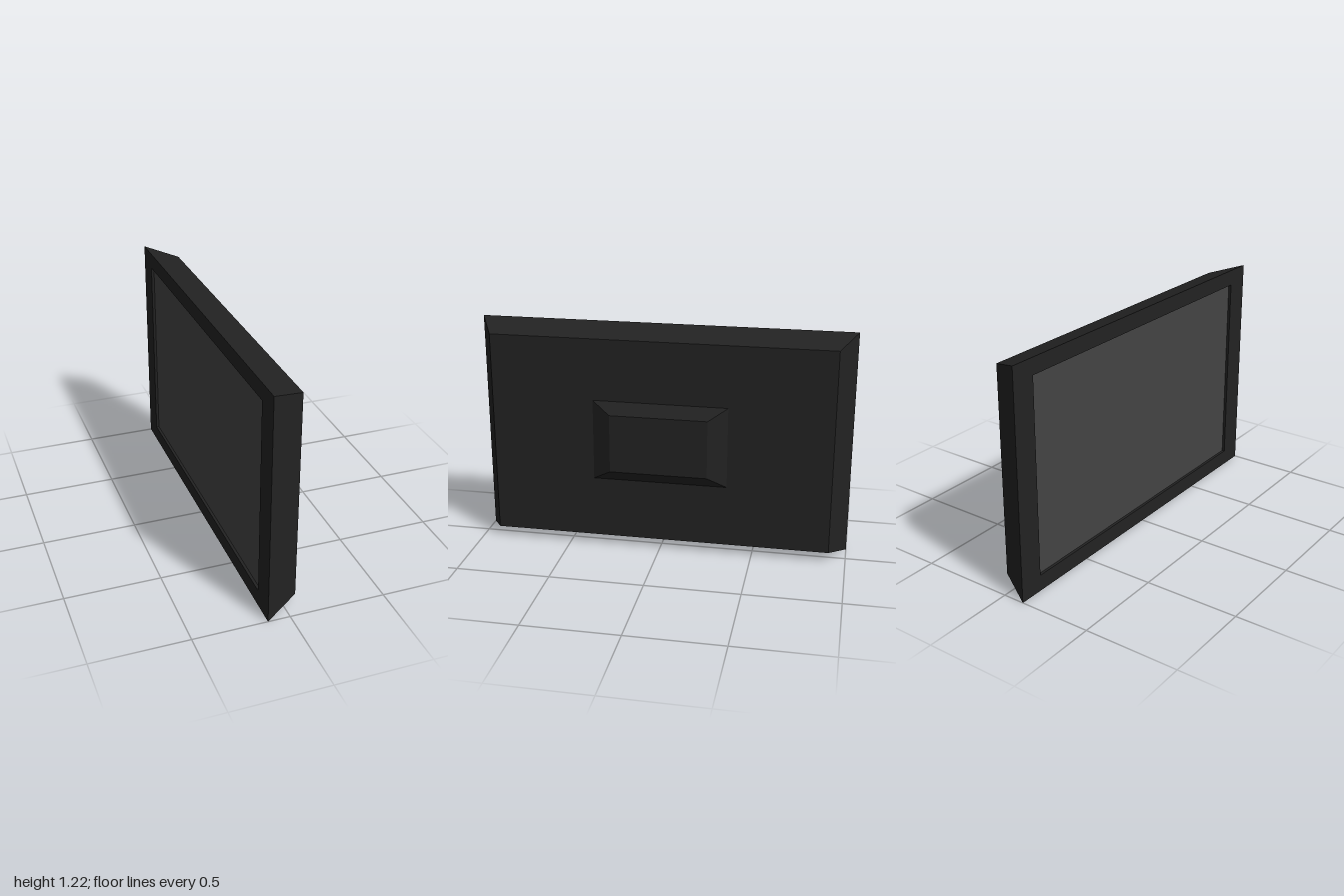
import * as THREE from 'three';

const CENTER_Y = 0.608;

// Skins a chain of rectangular rings [x, halfDepth, halfHeight]; optionally closes the last ring.
function rectLoft(rings, cap) {
  const corners = rings.map(([x, d, h]) =>
    [[-1, -1], [1, -1], [1, 1], [-1, 1]].map(([sz, sy]) => [x, CENTER_Y + sy * h, sz * d]));
  const pos = [];
  const quad = (a, b, c, d) => pos.push(...a, ...b, ...c, ...a, ...c, ...d);
  for (let r = 0; r < corners.length - 1; r++) {
    const a = corners[r], b = corners[r + 1];
    for (let i = 0; i < 4; i++) {
      const j = (i + 1) % 4;
      quad(a[i], b[i], b[j], a[j]);
    }
  }
  if (cap) {
    const e = corners[corners.length - 1];
    quad(e[0], e[3], e[2], e[1]);
  }
  const geo = new THREE.BufferGeometry();
  geo.setAttribute('position', new THREE.Float32BufferAttribute(pos, 3));
  geo.computeVertexNormals();
  return geo;
}

export function createModel() {
  const group = new THREE.Group();
  const casing = new THREE.MeshStandardMaterial({ color: 0x222222 });
  casing.name = 'casing black';
  const glass = new THREE.MeshStandardMaterial({ color: 0x444444 });
  glass.name = 'screen grey';

  const add = (name, geo, mat) => {
    const mesh = new THREE.Mesh(geo, mat);
    mesh.name = name;
    group.add(mesh);
    return mesh;
  };

  // Casing: recess wall, bezel, tapered sides and flat back panel
  add('casing', rectLoft([
    [-0.1, 0.865, 0.522],
    [-0.115, 0.865, 0.522],
    [-0.115, 1, 0.608],
    [0.062, 0.91, 0.553],
    [0.062, 0.36, 0.22],
  ], false), casing);

  // Raised housing on the back panel
  add('rearHousing', rectLoft([
    [0.062, 0.36, 0.22],
    [0.112, 0.26, 0.158],
  ], true), casing);

  // Recessed screen, facing -x
  const screen = add('screen', new THREE.PlaneGeometry(1.73, 1.044), glass);
  screen.rotation.y = -Math.PI / 2;
  screen.position.set(-0.1, CENTER_Y, 0);

  return group;
}
